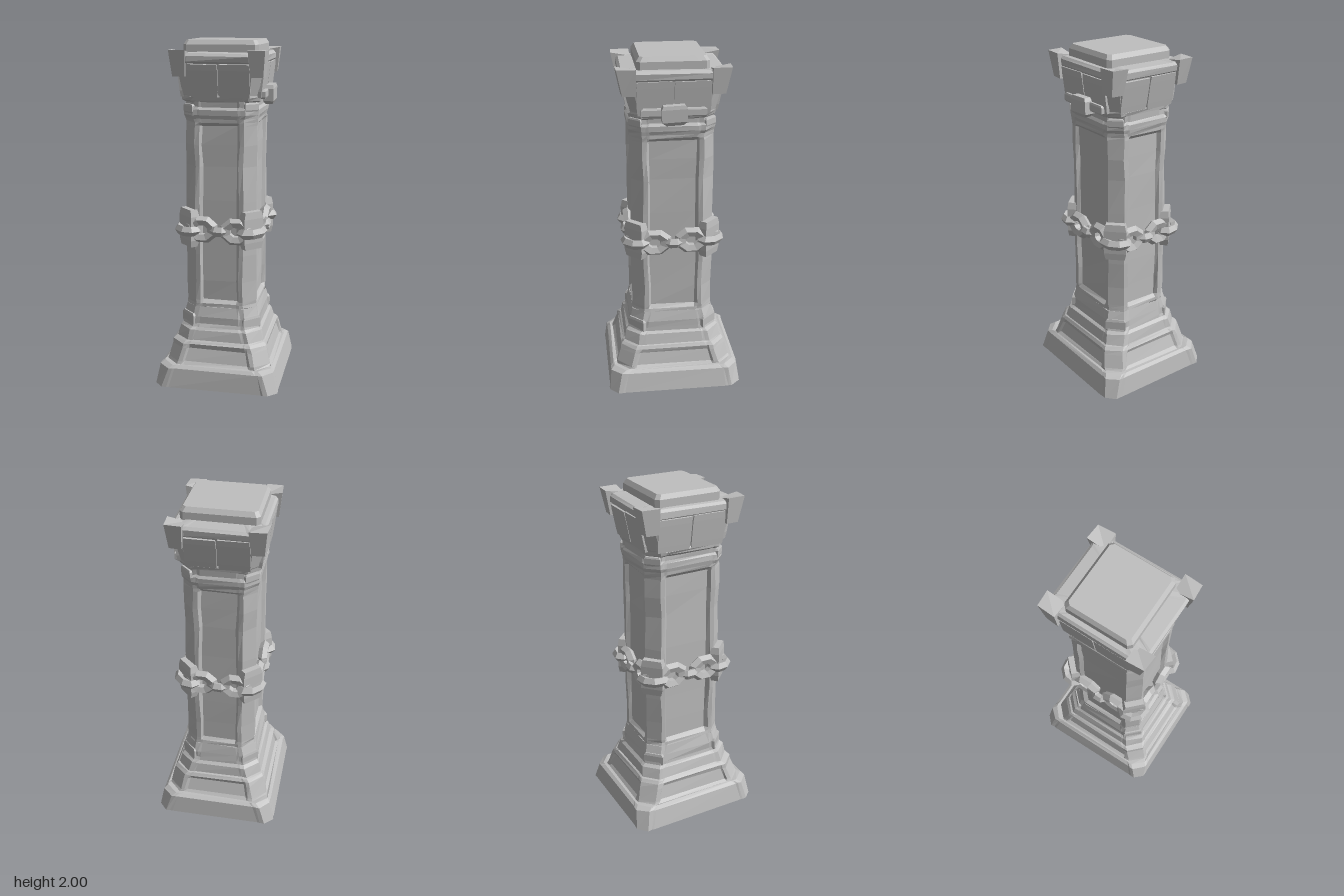
import * as THREE from 'three';

const stone = new THREE.MeshStandardMaterial({ color: 0xbfbfbf, side: THREE.DoubleSide });
stone.name = 'grey stone';

// Seeded roughness for chipped edges
let seed = 7;
const rough = (amount) => {
  seed = (seed * 16807) % 2147483647;
  return (seed / 2147483647 - 0.5) * 2 * amount;
};

function part(name, geometry, parent) {
  const faceted = geometry.toNonIndexed();
  faceted.computeVertexNormals();
  const mesh = new THREE.Mesh(faceted, stone);
  mesh.name = name;
  parent.add(mesh);
  return mesh;
}

// Chamfered rectangle with an optional recessed panel on each of the four faces
function section([y, hx, hz, chamfer, inset = 0], chip) {
  const points = [];
  for (let k = 0; k < 4; k++) {
    const [out, half] = k % 2 ? [hz, hx] : [hx, hz];
    const edge = half - chamfer;
    const face = [[out, -edge], [out, -edge + 0.025], [out - inset, -edge + 0.04],
      [out - inset, edge - 0.04], [out, edge - 0.025], [out, edge]];
    const c = [1, 0, -1, 0][k], s = [0, 1, 0, -1][k];
    for (const [o, t] of face) {
      points.push([o * c - t * s + rough(chip), y + (y > 0 ? rough(chip) : 0), o * s + t * c + rough(chip)]);
    }
  }
  return points;
}

// Skin a stack of sections; the bottom stays open
function stack(rows, chip, closeTop) {
  const rings = rows.map((row) => section(row, chip));
  const n = rings[0].length;
  const index = [];
  for (let r = 0; r < rings.length - 1; r++) {
    for (let i = 0; i < n; i++) {
      const a = r * n + i, b = r * n + (i + 1) % n;
      index.push(a, a + n, b, b, a + n, b + n);
    }
  }
  if (closeTop) {
    const start = (rings.length - 1) * n;
    for (let i = 1; i < n - 1; i++) index.push(start, start + i + 1, start + i);
  }
  const g = new THREE.BufferGeometry();
  g.setAttribute('position', new THREE.Float32BufferAttribute(rings.flat(2), 3));
  g.setIndex(index);
  return g;
}

// Box with its lower and upper ends scaled, for hewn blocks
function hewn(w, h, d, bottom, top) {
  const g = new THREE.BoxGeometry(w, h, d, 1, 3, 1);
  const p = g.attributes.position;
  for (let i = 0; i < p.count; i++) {
    const y = p.getY(i);
    const k = y < -h * 0.4 ? bottom : y > h * 0.4 ? top : 1;
    const lift = Math.abs(y) < h * 0.4 ? 1.9 : 1;
    p.setXYZ(i, p.getX(i) * k, y * lift, p.getZ(i) * k);
  }
  return g;
}

export function createModel() {
  const model = new THREE.Group();
  model.name = 'stone pillar';

  // Stepped base, hollow underneath
  part('base', stack([
    [0, 0.365, 0.398, 0.05], [0.115, 0.338, 0.384, 0.06], [0.13, 0.32, 0.365, 0.065],
    [0.13, 0.308, 0.348, 0.075], [0.145, 0.305, 0.343, 0.078, 0.012], [0.22, 0.286, 0.32, 0.078, 0.012],
    [0.245, 0.28, 0.314, 0.078], [0.26, 0.268, 0.302, 0.078], [0.265, 0.258, 0.292, 0.075],
    [0.325, 0.243, 0.28, 0.075], [0.34, 0.228, 0.265, 0.072], [0.36, 0.224, 0.258, 0.068],
    [0.4, 0.222, 0.255, 0.068], [0.46, 0.208, 0.24, 0.066],
  ], 0.003), model);
  part('baseCeiling', stack([[0.25, 0.272, 0.306, 0.078]], 0, true), model);

  // Shaft with four recessed panels
  part('shaft', stack([
    [0.46, 0.208, 0.24, 0.066], [0.48, 0.206, 0.238, 0.066], [0.5, 0.206, 0.238, 0.066, 0.02],
    [0.62, 0.206, 0.238, 0.068, 0.02], [0.78, 0.206, 0.238, 0.064, 0.02], [1.1, 0.206, 0.238, 0.066, 0.02],
    [1.3, 0.205, 0.237, 0.069, 0.02], [1.42, 0.206, 0.238, 0.064, 0.02], [1.53, 0.206, 0.238, 0.066, 0.02],
    [1.55, 0.206, 0.238, 0.066], [1.57, 0.208, 0.24, 0.066], [1.59, 0.214, 0.244, 0.066],
    [1.62, 0.214, 0.244, 0.066], [1.635, 0.206, 0.236, 0.066], [1.67, 0.206, 0.236, 0.066],
  ], 0.003), model);

  // Flared capital
  part('capital', stack([
    [1.655, 0.2, 0.225, 0.06], [1.67, 0.222, 0.238, 0.06], [1.69, 0.226, 0.243, 0.06],
    [1.7, 0.22, 0.24, 0.05], [1.875, 0.24, 0.275, 0.045], [1.885, 0.25, 0.286, 0.04],
    [1.915, 0.25, 0.29, 0.04], [1.93, 0.235, 0.275, 0.04], [1.935, 0.18, 0.17, 0.03],
  ], 0.003, true), model);

  // Top slab
  part('topSlab', stack([
    [1.9, 0.213, 0.198, 0.02], [1.975, 0.213, 0.198, 0.02], [2, 0.198, 0.18, 0.018],
  ], 0, true), model);

  // Two carved slabs on each face of the capital
  for (let k = 0; k < 4; k++) {
    const side = new THREE.Group();
    side.name = 'capitalFace';
    side.rotation.y = k * Math.PI / 2;
    model.add(side);
    const [out, half] = k % 2 ? [0.227, 0.205] : [0.254, 0.18];
    for (const s of [-1, 1]) {
      const slab = part('carvedSlab', hewn(half - 0.006, 0.185 + rough(0.008), 0.026, 0.96, 0.96), side);
      slab.position.set(s * half / 2, 1.783, out);
      slab.rotation.set(k % 2 ? 0.12 : 0.2, 0, rough(0.03));
    }
  }

  // Chipped block under the capital on one side
  const chip = part('chippedBlock', hewn(0.14, 0.11, 0.06, 0.65, 0.85), model);
  chip.position.set(0.25, 1.695, 0);
  chip.rotation.set(0, Math.PI / 2, 0.04);
  for (const s of [-1, 1]) {
    const ledge = part('brokenLedge', hewn(0.12, 0.05, 0.04, 0.8, 0.8), model);
    ledge.position.set(0.23, 1.705, s * 0.12);
    ledge.rotation.y = Math.PI / 2;
  }

  // Corner details
  for (const sx of [-1, 1]) {
    for (const sz of [-1, 1]) {
      // Tapered horn at the top
      const g = new THREE.BoxGeometry(0.1, 0.145, 0.11);
      const p = g.attributes.position;
      for (let i = 0; i < p.count; i++) {
        const low = p.getY(i) < 0, ox = p.getX(i) * sx > 0, oz = p.getZ(i) * sz > 0;
        if (low) p.setX(i, p.getX(i) - sx * (ox ? 0.014 : -0.01));
        if (low && oz) p.setZ(i, p.getZ(i) - sz * 0.03);
        // Clip the sharp outer corner and sink the inner one
        if (ox && oz) p.setXYZ(i, p.getX(i) - sx * 0.006, p.getY(i), p.getZ(i) - sz * 0.006);
        if (!low && !ox && !oz) p.setY(i, p.getY(i) - 0.02);
      }
      part('cornerHorn', g, model).position.set(sx * 0.223, 1.876, sz * 0.26);

      // Diagonal blocks: foot, collar behind the chain, neck
      const blocks = [
        ['footBlock', 0.375, 0.08, 0.12, 0.176, 0.206, 0.05],
        ['collarBlock', 0.935, 0.22, 0.13, 0.182, 0.213, 0.056],
        ['neckBlock', 1.63, 0.05, 0.09, 0.168, 0.198, 0.045],
      ];
      for (const [name, y, h, w, x, z, d] of blocks) {
        const block = part(name, hewn(w, h, d, 0.85, 0.85), model);
        block.position.set(sx * x, y + rough(0.008), sz * z);
        block.rotation.y = Math.atan2(sx, sz);
      }
    }
  }

  // Chain: upright links on the faces, flat links between them and round the corners
  const chain = new THREE.Group();
  chain.name = 'chain';
  model.add(chain);
  function link(x, z, turn, flat, length) {
    const g = new THREE.TorusGeometry(0.054, 0.03, 5, 8);
    g.rotateZ(Math.PI / 8);
    g.scale(length / 0.16, flat ? 0.85 : 1, 1);
    if (flat) g.rotateX(Math.PI / 2);
    const mesh = part(flat ? 'flatLink' : 'uprightLink', g, chain);
    mesh.position.set(x, 0.927 + rough(0.006), z);
    mesh.rotation.set(0, turn, flat ? rough(0.06) : 0);
  }
  for (const s of [-1, 1]) {
    link(0, s * 0.225, 0, true, 0.13);
    link(s * 0.196, 0, Math.PI / 2, true, 0.13);
    for (const t of [-1, 1]) {
      link(t * 0.1, s * 0.242, 0, false, 0.19);
      link(s * 0.212, t * 0.108, Math.PI / 2, false, 0.2);
      link(s * 0.189, t * 0.22, Math.atan2(s, t), true, 0.185);
    }
  }
  return model;
}
